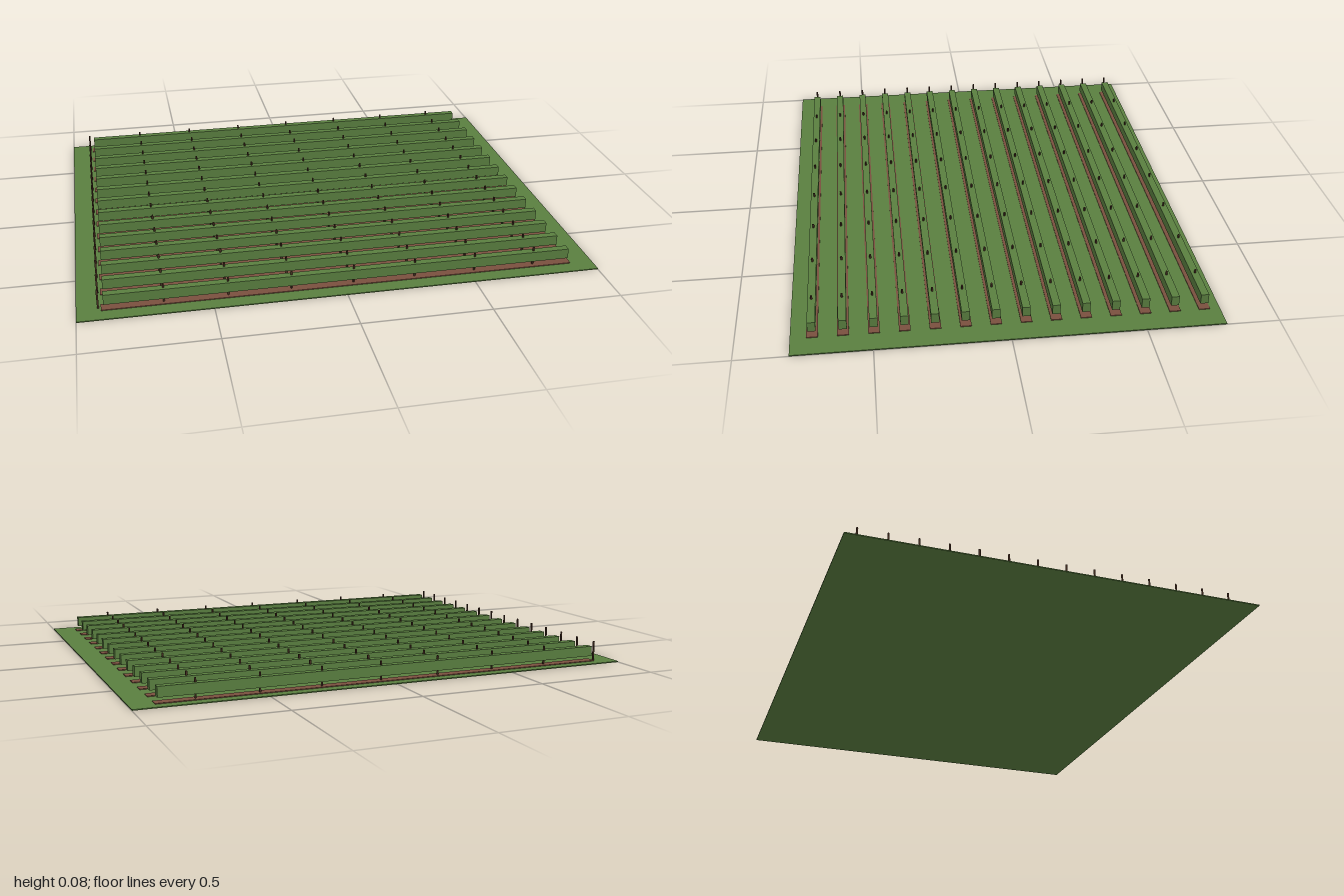
import * as THREE from 'three';

export function createModel() {
  const model = new THREE.Group();
  model.name = 'vineyard';

  const mat = (name, color) => {
    const m = new THREE.MeshStandardMaterial({ color });
    m.name = name;
    return m;
  };
  const green = mat('leaf green', 0x5a7f40);
  const soil = mat('soil brown', 0x7a4f3e);
  const wood = mat('dark wood', 0x4a3022);

  const add = (parent, name, geometry, material, x, y, z) => {
    const mesh = new THREE.Mesh(geometry, material);
    mesh.name = name;
    mesh.position.set(x, y, z);
    parent.add(mesh);
  };

  // Thin grass field
  add(model, 'field', new THREE.BoxGeometry(2, 0.004, 1.6), green, 0, 0.002, 0);

  // Shared row parts
  const stripGeo = new THREE.BoxGeometry(1.82, 0.006, 0.042);
  const hedgeGeo = new THREE.BoxGeometry(1.8, 0.04, 0.03);
  const postGeo = new THREE.CylinderGeometry(0.004, 0.004, 0.08, 6);

  // Fourteen planted rows, each with a soil strip, a vine hedge and eight posts
  for (let i = 0; i < 14; i++) {
    const row = new THREE.Group();
    row.name = `row${i + 1}`;
    row.position.z = -0.74 + i * 0.1123;
    add(row, 'soilStrip', stripGeo, soil, 0, 0.004, 0);
    add(row, 'vineHedge', hedgeGeo, green, 0, 0.045, 0);
    for (let p = 0; p < 8; p++) {
      add(row, 'post', postGeo, wood, -0.92 + p * 0.24, 0.041, 0);
    }
    model.add(row);
  }
  return model;
}
